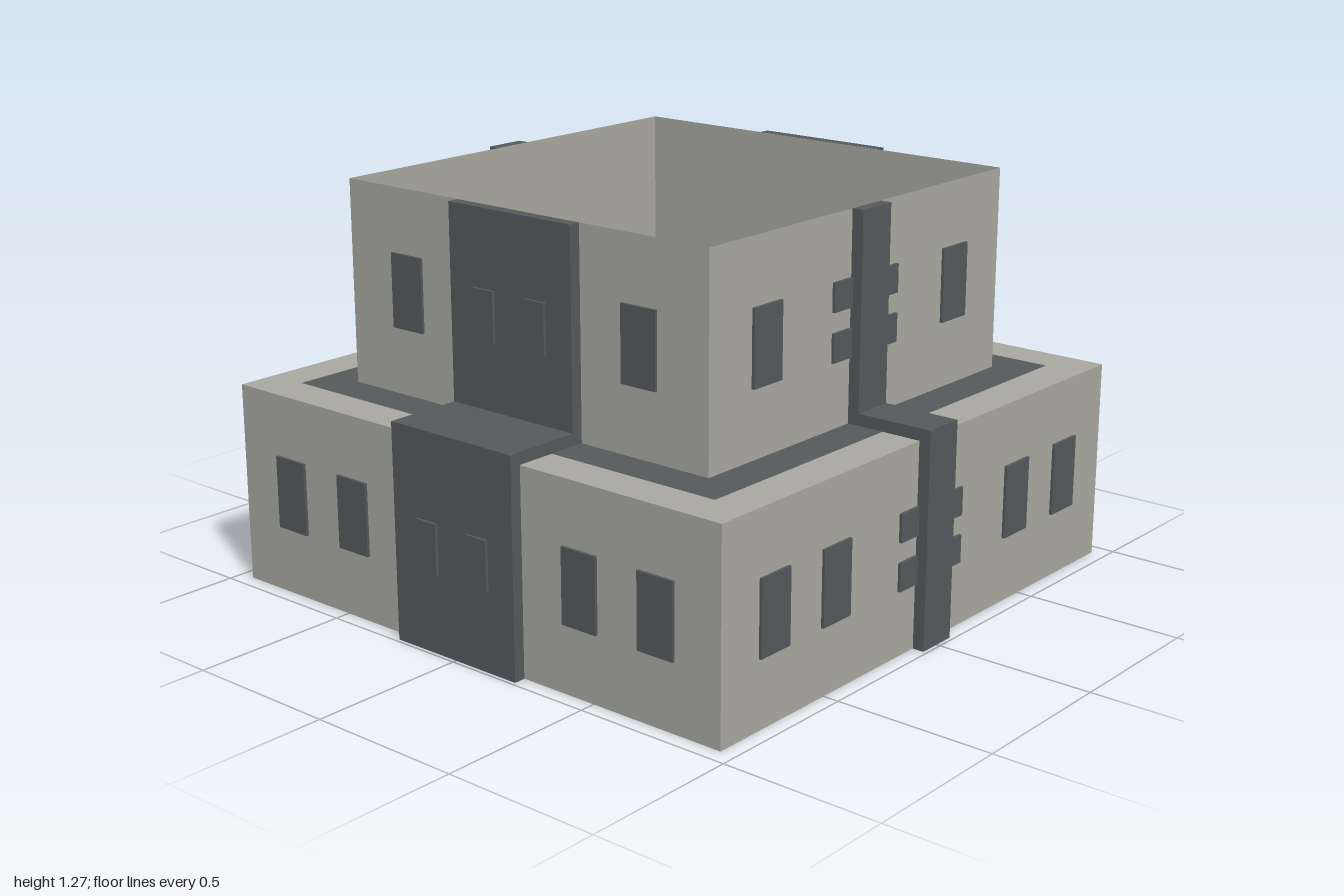
import * as THREE from 'three';

const wallMat = new THREE.MeshStandardMaterial({ color: 0xa8a8a0, side: THREE.DoubleSide });
wallMat.name = 'pale concrete';
const darkMat = new THREE.MeshStandardMaterial({ color: 0x55595d, side: THREE.DoubleSide });
darkMat.name = 'slate grey';

const LOWER = 0.95, UPPER = 0.7;        // half widths of the two storeys
const ROOF = 0.635, TOP = 1.272;        // storey heights
const TRIM = 0.038;                     // how far the bands stand out

function add(parent, name, geometry, material) {
  const mesh = new THREE.Mesh(geometry, material);
  mesh.name = name;
  parent.add(mesh);
  return mesh;
}

// Single-skin wall facing +z
function wall(parent, name, half, y0, y1) {
  add(parent, name, new THREE.PlaneGeometry(2 * half, y1 - y0), wallMat)
    .position.set(0, (y0 + y1) / 2, half);
}

// Thin window plate standing just off a wall at depth z
function pane(parent, name, x, y, z, w, h, t = 0.009) {
  add(parent, name, new THREE.BoxGeometry(w, h, t), darkMat)
    .position.set(x, y, z + t / 2 + 0.0008);
}

// Stepped band climbing the lower wall, crossing the terrace and climbing the upper wall
function band(parent, name, width) {
  const e = 0.001;
  const s = new THREE.Shape([
    [LOWER + e, 0], [LOWER + TRIM, 0], [LOWER + TRIM, ROOF + TRIM], [UPPER + TRIM, ROOF + TRIM],
    [UPPER + TRIM, TOP], [UPPER + e, TOP], [UPPER + e, ROOF + e], [LOWER + e, ROOF + e],
  ].map(([a, b]) => new THREE.Vector2(a, b)));
  const g = new THREE.ExtrudeGeometry(s, { depth: width, bevelEnabled: false });
  g.rotateY(-Math.PI / 2).translate(width / 2, 0, 0);
  add(parent, name, g, darkMat);
}

function squareShape(half) {
  return new THREE.Shape([[-1, -1], [1, -1], [1, 1], [-1, 1]]
    .map(([a, b]) => new THREE.Vector2(a * half, b * half)));
}

export function createModel() {
  const model = new THREE.Group();
  model.name = 'building';

  // Terrace: pale rim around a dark deck
  const rim = squareShape(LOWER);
  rim.holes.push(squareShape(0.822));
  add(model, 'terraceRim', new THREE.ShapeGeometry(rim).rotateX(-Math.PI / 2), wallMat).position.y = ROOF;
  add(model, 'terraceDeck', new THREE.ShapeGeometry(squareShape(0.822)).rotateX(-Math.PI / 2), darkMat)
    .position.y = ROOF;

  // Four facades, wide band on front and back, narrow band on the sides
  ['front', 'left', 'back', 'right'].forEach((side, i) => {
    const facade = new THREE.Group();
    facade.name = side + 'Facade';
    facade.rotation.y = i * Math.PI / 2;
    model.add(facade);

    wall(facade, 'lowerWall', LOWER, 0, ROOF);
    wall(facade, 'upperWall', UPPER, ROOF, TOP);

    const wide = i % 2 === 0;
    band(facade, wide ? 'entranceBand' : 'narrowBand', wide ? 0.474 : 0.136);

    for (const s of [-1, 1]) {
      pane(facade, 'lowerOuterWindow', s * 0.73, 0.325, LOWER, 0.125, 0.23);
      pane(facade, 'lowerInnerWindow', s * 0.456, 0.325, LOWER, 0.125, 0.23);
      pane(facade, 'upperWindow', s * 0.456, 0.958, UPPER, 0.125, 0.23);
      for (const [base, half] of [[0, LOWER], [0.632, UPPER]]) {
        if (wide) {
          pane(facade, 'bandWindow', s * 0.1, base + 0.326, half + TRIM, 0.082, 0.156);
        } else {
          for (const y of [0.248, 0.397]) {
            pane(facade, 'smallWindow', s * 0.112, base + y, half, 0.086, 0.088);
          }
        }
      }
    }
  });

  return model;
}
